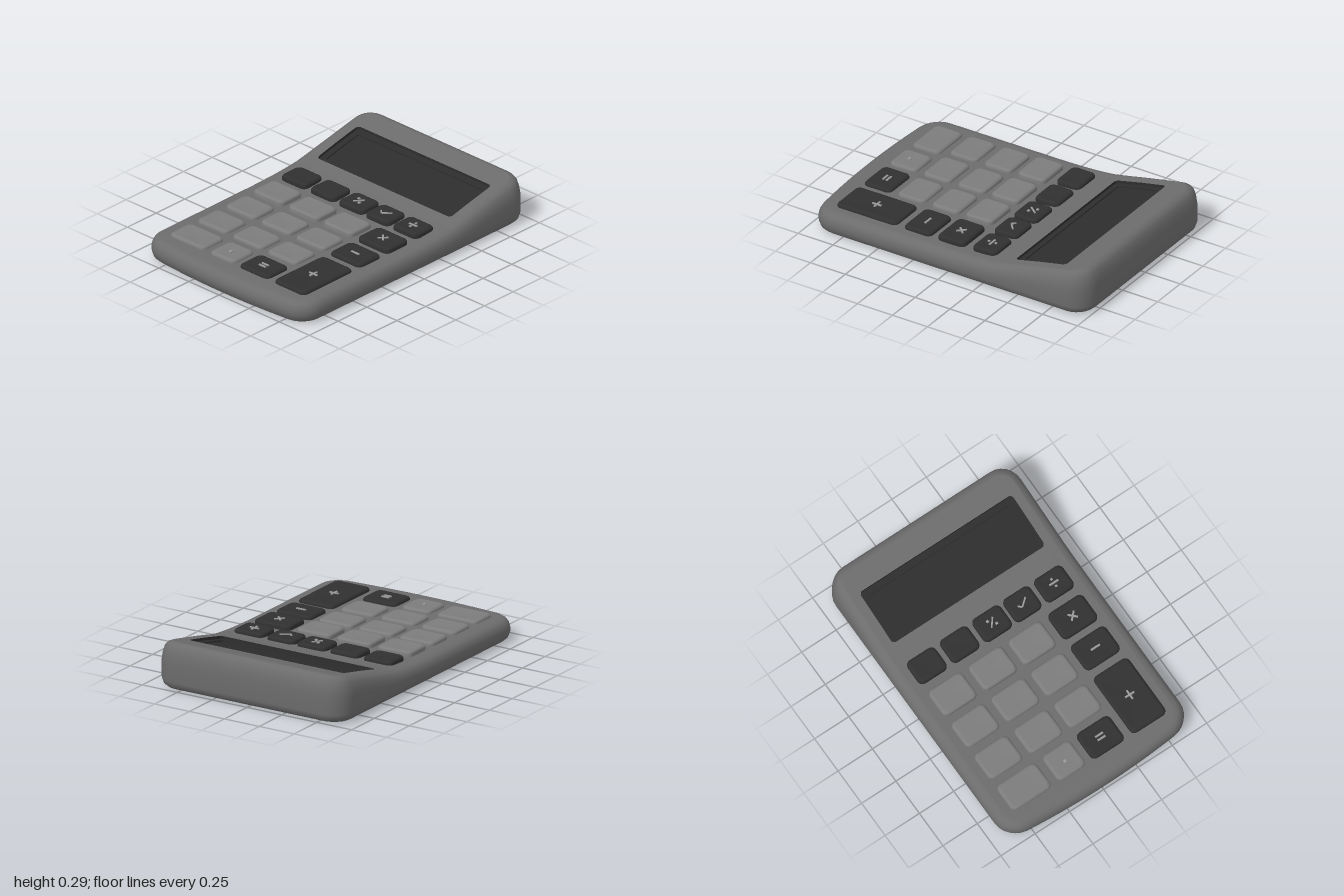
import * as THREE from 'three';

const mat = (name, color) => {
  const m = new THREE.MeshStandardMaterial({ color });
  m.name = name;
  return m;
};

// Height of the case top along z: flat keypad, then a ramp up to the display
const PROFILE = [[1, 0.136], [0.9, 0.142], [0, 0.146], [-0.2, 0.153], [-0.35, 0.166],
  [-0.45, 0.187], [-0.6, 0.222], [-0.8, 0.264], [-0.92, 0.29], [-1, 0.296]];
function topY(z) {
  for (let i = 1; i < PROFILE.length; i++) {
    const [za, ya] = PROFILE[i - 1], [zb, yb] = PROFILE[i];
    if (z >= zb) return ya + (yb - ya) * Math.min(1, Math.max(0, (za - z) / (za - zb)));
  }
  return 0.296;
}

// Rounded rectangle in plan, always with the same number of points per side and corner
function outline(x0, x1, z0, z1, r, n = 24, m = 6) {
  const corners = [[x1 - r, z1 - r], [x0 + r, z1 - r], [x0 + r, z0 + r], [x1 - r, z0 + r]];
  const pts = [];
  corners.forEach(([cx, cz], k) => {
    for (let i = 0; i <= m; i++) {
      const a = (k + i / m) * Math.PI / 2;
      pts.push([cx + r * Math.cos(a), cz + r * Math.sin(a)]);
    }
    const a = (k + 1) * Math.PI / 2, [nx, nz] = corners[(k + 1) % 4];
    for (let i = 1; i < n; i++) {
      const t = i / n;
      pts.push([cx + (nx - cx) * t + r * Math.cos(a), cz + (nz - cz) * t + r * Math.sin(a)]);
    }
  });
  return pts;
}

// Raise a plan outline to a fixed height or to a height that depends on z
const lift = (pts, y) => pts.map(([x, z]) => [x, Number.isFinite(y) ? y : y(z), z]);
const blend = (a, b, t) => a.map(([x, z], i) => [x + (b[i][0] - x) * t, z + (b[i][1] - z) * t]);
const collapse = (pts, x, z) => pts.map(() => [x, z]);

// Skin between successive closed rings
function loft(rings) {
  const n = rings[0].length, idx = [];
  for (let i = 0; i < rings.length - 1; i++) {
    for (let j = 0; j < n; j++) {
      const k = (j + 1) % n;
      const a = i * n + j, b = i * n + k, c = b + n, d = a + n;
      idx.push(a, d, b, b, d, c);
    }
  }
  const g = new THREE.BufferGeometry();
  g.setAttribute('position', new THREE.Float32BufferAttribute(rings.flat(2), 3));
  g.setIndex(idx);
  g.computeVertexNormals();
  return g;
}

// Case outline, with a gently bowed front edge
function caseOutline(inset) {
  const pts = outline(-0.675 + inset, 0.675 - inset, -1 + inset, 0.965 - inset, 0.14 - inset * 0.8);
  return pts.map(([x, z]) => {
    const f = Math.min(1, Math.max(0, (z - 0.5) / 0.35));
    return [x, z + 0.035 * f * Math.max(0, 1 - (x / 0.62) ** 2)];
  });
}

export function createModel() {
  const model = new THREE.Group();
  model.name = 'calculator';
  const caseGrey = mat('caseGrey', 0x6c6c6c);
  const keyGrey = mat('keyGrey', 0x7c7c7c);
  const keyDark = mat('keyDark', 0x303030);
  const screenDark = mat('screenDark', 0x2d2d2d);
  const symbolGrey = mat('symbolGrey', 0x989898);

  const add = (geometry, material, name, parent = model) => {
    const mesh = new THREE.Mesh(geometry, material);
    mesh.name = name;
    parent.add(mesh);
    return mesh;
  };

  // Case: underside, rounded walls and sloping top with an opening for the display
  const foot = caseOutline(0.055);
  add(loft([lift(collapse(foot, 0, 0), 0), lift(foot, 0)]), caseGrey, 'caseUnderside');

  const hole = outline(-0.555, 0.555, -0.79, -0.43, 0.025);
  const shell = [[0.055, 0], [0.03, 0.006], [0.01, 0.024], [0, 0.055]]
    .map(([inset, y]) => lift(caseOutline(inset), y));
  for (const [inset, drop] of [[0, 0.42], [0.006, 0.26], [0.018, 0.12], [0.036, 0.04], [0.06, 0]]) {
    shell.push(lift(caseOutline(inset), z => topY(z) * (1 - drop)));
  }
  const rim = caseOutline(0.06);
  for (let i = 1; i <= 20; i++) shell.push(lift(blend(rim, hole, i / 20), topY));
  add(loft(shell), caseGrey, 'caseShell');

  // Display: recess wall, bezel ledge, inner step and screen
  const inner = outline(-0.515, 0.515, -0.75, -0.47, 0.015);
  const below = d => z => topY(z) - d;
  const display = new THREE.Group();
  display.name = 'display';
  model.add(display);
  add(loft([lift(hole, topY), lift(hole, below(0.018))]), screenDark, 'recessWall', display);
  add(loft([lift(hole, below(0.018)), lift(inner, below(0.018))]), screenDark, 'bezel', display);
  add(loft([lift(inner, below(0.018)), lift(inner, below(0.026))]), screenDark, 'bezelStep', display);
  add(loft([lift(inner, below(0.026)), lift(collapse(inner, 0, -0.61), below(0.026))]),
    screenDark, 'screen', display);

  // Thin bars [dx, dz, width, depth, turn] that make up the operator marks
  const bar = [0, 0, 0.065, 0.012, 0], upright = [0, 0, 0.065, 0.012, Math.PI / 2];
  const marks = {
    plus: [bar, upright],
    minus: [bar],
    times: [[0, 0, 0.065, 0.012, Math.PI / 4], [0, 0, 0.065, 0.012, -Math.PI / 4]],
    divide: [bar, [0, -0.025, 0.014, 0.014, 0], [0, 0.025, 0.014, 0.014, 0]],
    equals: [[0, -0.013, 0.055, 0.012, 0], [0, 0.013, 0.055, 0.012, 0]],
    root: [[-0.025, 0.012, 0.03, 0.01, -0.8], [0.012, 0, 0.065, 0.01, 0.7]],
    percent: [[0, 0, 0.07, 0.01, 0.9], [-0.02, -0.02, 0.016, 0.016, 0], [0.02, 0.02, 0.016, 0.016, 0]],
    point: [[0, 0.01, 0.018, 0.018, 0]],
  };

  // Keys: softly rounded caps with a slightly dished top
  const keys = new THREE.Group();
  keys.name = 'keys';
  model.add(keys);
  function addKey(x0, x1, z0, z1, top, material, name, mark) {
    const cx = (x0 + x1) / 2, cz = (z0 + z1) / 2;
    const rings = [[0, 0.13], [0, top - 0.014], [0.005, top - 0.005], [0.015, top], [0.022, top]]
      .map(([s, y]) => lift(outline(x0 + s, x1 - s, z0 + s, z1 - s, 0.035 - s * 0.6, 2, 5), y));
    rings.push(lift(collapse(rings[0], cx, cz), top - 0.003));
    add(loft(rings), material, name, keys);
    for (const [dx, dz, w, d, turn] of marks[mark] || []) {
      const m = add(new THREE.BoxGeometry(w, 0.008, d), symbolGrey, mark + 'Mark', keys);
      m.position.set(cx + dx, top, cz + dz);
      m.rotation.y = turn;
    }
  }

  // Small dark keys under the display
  const smallKeys = [[-0.565, -0.36], [-0.325, -0.122], [-0.09, 0.115, 'percent'],
    [0.135, 0.33, 'root'], [0.36, 0.565, 'divide']];
  for (const [x0, x1, mark] of smallKeys) addKey(x0, x1, -0.29, -0.12, 0.184, keyDark, 'smallKey', mark);

  // Number block
  const columns = [[-0.56, -0.315], [-0.27, -0.022], [0.02, 0.262]];
  const rows = [[-0.065, 0.13, 0.178], [0.175, 0.37, 0.168], [0.42, 0.615, 0.164]];
  for (const [z0, z1, top] of rows) {
    for (const [x0, x1] of columns) addKey(x0, x1, z0, z1, top, keyGrey, 'numberKey');
  }

  // Bottom row
  addKey(-0.56, -0.272, 0.66, 0.855, 0.162, keyGrey, 'zeroKey');
  addKey(-0.225, -0.022, 0.66, 0.855, 0.162, keyGrey, 'pointKey', 'point');
  addKey(0.02, 0.262, 0.66, 0.855, 0.162, keyDark, 'equalsKey', 'equals');

  // Operator column
  addKey(0.31, 0.565, -0.065, 0.13, 0.178, keyDark, 'timesKey', 'times');
  addKey(0.31, 0.565, 0.175, 0.37, 0.168, keyDark, 'minusKey', 'minus');
  addKey(0.31, 0.565, 0.42, 0.855, 0.164, keyDark, 'plusKey', 'plus');

  return model;
}
